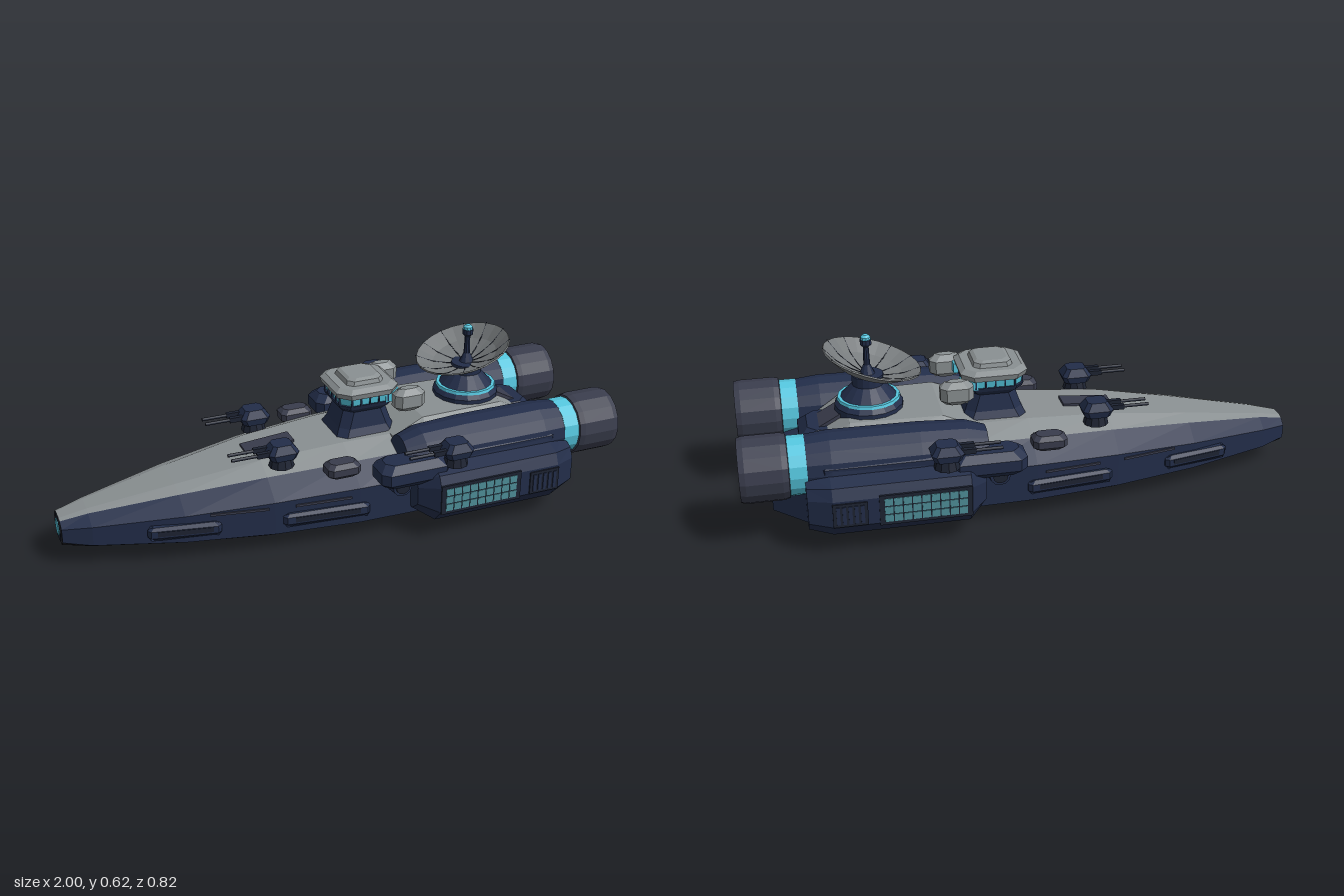
import * as THREE from 'three';

const mat = (name, color) => {
  const m = new THREE.MeshStandardMaterial({ color });
  m.name = name;
  return m;
};

// Skin between rings of 3D points, capped at both ends; bands gives a material index per side
function loft(rings, bands = () => 0, endBand = 0) {
  const n = rings[0].length, buckets = {};
  const tri = (k, ...p) => (buckets[k] ??= []).push(...p.flat());
  for (let i = 0; i < rings.length - 1; i++)
    for (let j = 0; j < n; j++) {
      const k = (j + 1) % n, a = rings[i][j], b = rings[i + 1][j], c = rings[i + 1][k], d = rings[i][k];
      tri(bands(j), a, b, c);
      tri(bands(j), a, c, d);
    }
  const s = rings[0], e = rings[rings.length - 1];
  for (let j = 1; j < n - 1; j++) {
    tri(bands(0), s[0], s[j], s[j + 1]);
    tri(endBand, e[0], e[j + 1], e[j]);
  }
  const g = new THREE.BufferGeometry(), all = [];
  for (const k of Object.keys(buckets)) {
    g.addGroup(all.length / 3, buckets[k].length / 3, +k);
    for (const v of buckets[k]) all.push(v);
  }
  g.setAttribute('position', new THREE.Float32BufferAttribute(all, 3));
  g.computeVertexNormals();
  return g;
}

// Stack of chamfered rectangles: layers of [y, halfX, halfZ, chamfer]
const stack = (layers) => loft(layers.map(([y, x, z, c]) => [
  [x - c, y, z], [c - x, y, z], [-x, y, z - c], [-x, y, c - z],
  [c - x, y, -z], [x - c, y, -z], [x, y, c - z], [x, y, z - c]]));

const bevelBox = (x, y, z, c) => stack([
  [-y / 2, x / 2 - c, z / 2 - c, c], [c - y / 2, x / 2, z / 2, c],
  [y / 2 - c, x / 2, z / 2, c], [y / 2, x / 2 - c, z / 2 - c, c]]);

const box = (x, y, z) => new THREE.BoxGeometry(x, y, z);
const flat = (g) => { const f = g.toNonIndexed(); f.computeVertexNormals(); return f; };
const turned = (pts, sides) => flat(new THREE.LatheGeometry(pts.map(p => new THREE.Vector2(...p)), sides));

export function createModel() {
  const model = new THREE.Group();
  model.name = 'patrolShip';
  const navy = mat('navy', 0x222d49), grey = mat('deckGrey', 0x8a9092), teal = mat('teal', 0x55c6de),
    charcoal = mat('charcoal', 0x393c4c), under = mat('undersideBlack', 0x23252c),
    gunmetal = mat('gunmetal', 0x1d2332), glass = mat('dimGlass', 0x4f8f99), dishGrey = mat('dishGrey', 0x777b7d);

  const add = (parent, name, geo, material, x = 0, y = 0, z = 0) => {
    const m = new THREE.Mesh(geo, material);
    m.name = name;
    m.position.set(x, y, z);
    parent.add(m);
    return m;
  };

  // Hull stations: x, half width, bottom, keel edge, shoulder, deck half width, deck edge, deck top
  const hullRing = ([x, w, yb, yk, ys, dw, yd, yt]) => {
    const half = [[yb, w * 0.61], [yk, w], [ys, w], [yd, dw], [yt, dw * 0.6]];
    return [...half.map(([y, z]) => [x, y, z]), ...half.reverse().map(([y, z]) => [x, y, -z])];
  };
  const band = j => [0, 1, 1, 2, 2, 2, 1, 1, 0, 0][j];
  const aft = [0.72, 0.28, 0.028, 0.072, 0.2, 0.2, 0.25, 0.27];
  add(model, 'hull', loft([
    [-0.995, 0.065, 0.068, 0.09, 0.14, 0.04, 0.16, 0.165],
    [-0.9, 0.105, 0.055, 0.08, 0.15, 0.058, 0.18, 0.187],
    [-0.6, 0.19, 0.028, 0.072, 0.172, 0.12, 0.22, 0.237],
    [-0.3, 0.248, 0.008, 0.068, 0.19, 0.17, 0.25, 0.283],
    [0, 0.28, 0, 0.066, 0.2, 0.2, 0.265, 0.303],
    [0.2, 0.285, 0.002, 0.066, 0.2, 0.21, 0.27, 0.305], aft].map(hullRing), band), [under, navy, grey]);
  add(model, 'stern', loft([aft, [0.79, 0.28, 0.035, 0.075, 0.2, 0.2, 0.22, 0.225],
    [0.9, 0.19, 0.055, 0.085, 0.155, 0.165, 0.185, 0.188]].map(hullRing), band, 3), [under, navy, navy, charcoal]);

  // Nose cap with glowing sensor
  const nose = add(model, 'noseFrame', new THREE.CylinderGeometry(0.05, 0.055, 0.03, 6), gunmetal, -0.982, 0.118);
  nose.geometry = flat(nose.geometry);
  nose.rotation.z = Math.PI / 2;
  const lens = add(model, 'noseSensor', new THREE.CylinderGeometry(0.03, 0.03, 0.006, 6), teal, -0.997, 0.118);
  lens.rotation.z = Math.PI / 2;

  // Raised aft deck, hatch and stern block
  const deckRing = ([x, y, w]) => [[x, 0.24, 0.2], [x, y - 0.04, 0.19], [x, y, w], [x, y, -w], [x, y - 0.04, -0.19], [x, 0.24, -0.2]];
  add(model, 'aftDeck', loft([[0.18, 0.305, 0.15], [0.3, 0.355, 0.14], [0.62, 0.355, 0.13], [0.72, 0.3, 0.1]].map(deckRing)), grey);
  add(model, 'sternBlock', bevelBox(0.2, 0.1, 0.22, 0.03), navy, 0.69, 0.265);
  add(model, 'sternHatch', box(0.1, 0.012, 0.11), charcoal, 0.675, 0.333).rotation.z = -0.5;
  add(model, 'deckHatch', box(0.18, 0.016, 0.07), charcoal, -0.24, 0.287).rotation.z = 0.08;

  // Bridge tower
  const tower = new THREE.Group();
  tower.name = 'bridge';
  tower.position.x = 0.11;
  model.add(tower);
  add(tower, 'trunk', stack([[0.29, 0.12, 0.11, 0.03], [0.33, 0.1, 0.09, 0.03], [0.39, 0.08, 0.08, 0.03], [0.41, 0.1, 0.1, 0.03], [0.425, 0.105, 0.105, 0.03]]), navy);
  add(tower, 'bridgeWindows', stack([[0.425, 0.097, 0.1, 0.03], [0.46, 0.102, 0.106, 0.03]]), teal);
  for (const s of [-1, 1])
    for (let i = -2; i <= 2; i++) {
      add(tower, 'windowPost', box(0.005, 0.036, 0.008), navy, i * 0.034, 0.442, s * 0.103);
      add(tower, 'windowPost', box(0.008, 0.036, 0.005), navy, s * 0.1, 0.442, i * 0.034);
    }
  add(tower, 'roof', stack([[0.455, 0.113, 0.115, 0.04], [0.475, 0.118, 0.12, 0.04], [0.488, 0.1, 0.1, 0.035]]), grey);
  add(tower, 'roofCap', stack([[0.487, 0.07, 0.075, 0.02], [0.503, 0.065, 0.07, 0.02], [0.51, 0.052, 0.057, 0.02]]), grey);

  // Dish antenna
  const mast = new THREE.Group();
  mast.name = 'dishAntenna';
  mast.position.x = 0.54;
  model.add(mast);
  add(mast, 'dishBase', turned([[0, 0.34], [0.12, 0.34], [0.12, 0.37], [0.105, 0.388], [0.07, 0.425], [0.055, 0.44], [0.055, 0.475], [0, 0.48]], 16), navy);
  add(mast, 'baseRing', turned([[0.09, 0.387], [0.111, 0.387], [0.108, 0.397], [0.09, 0.397]], 16), teal);
  const dish = new THREE.Group();
  dish.name = 'dish';
  dish.position.y = 0.465;
  dish.rotation.z = 0.29;
  mast.add(dish);
  const bowl = [[0, 0], [0.06, 0.01], [0.12, 0.03], [0.175, 0.065]];
  add(dish, 'bowl', turned([...bowl, ...bowl.map(([r, y]) => [r * 0.985, y + 0.005]).reverse()], 24), dishGrey);
  const rib = new THREE.CatmullRomCurve3(bowl.map(([r, y]) => new THREE.Vector3(r, y + 0.006, 0)));
  for (let i = 0; i < 12; i++)
    add(dish, 'rib', new THREE.TubeGeometry(rib, 6, 0.002, 4), gunmetal).rotation.y = i * Math.PI / 6;
  add(mast, 'feedMast', turned([[0.03, 0.47], [0.012, 0.51], [0.01, 0.575], [0.02, 0.585], [0.02, 0.603], [0, 0.607]], 10), navy);
  add(mast, 'feedTip', turned([[0.018, 0.602], [0.017, 0.612], [0.009, 0.62], [0, 0.621]], 10), teal);

  // Twin-barrel turret, muzzles toward the nose
  const turret = (parent, x, y, z) => {
    const t = new THREE.Group();
    t.name = 'gunTurret';
    t.position.set(x, y, z);
    parent.add(t);
    add(t, 'turretBase', flat(new THREE.CylinderGeometry(0.036, 0.045, 0.035, 10)), gunmetal, 0, -0.012);
    add(t, 'turretBody', stack([[0.005, 0.045, 0.042, 0.015], [0.03, 0.055, 0.047, 0.015], [0.058, 0.035, 0.032, 0.012]]), navy);
    for (const s of [-1, 1]) {
      add(t, 'barrelSleeve', box(0.06, 0.018, 0.016), gunmetal, -0.065, 0.033, s * 0.02);
      add(t, 'barrel', new THREE.CylinderGeometry(0.006, 0.006, 0.14, 8), gunmetal, -0.115, 0.033, s * 0.02).rotation.z = Math.PI / 2;
    }
  };

  // Everything carried on each flank is built on +z, then mirrored
  for (const side of [1, -1]) {
    const g = new THREE.Group();
    g.name = side > 0 ? 'leftFlank' : 'rightFlank';
    g.scale.z = side;
    model.add(g);

    // Engine
    const engine = (name, pts, m) => add(g, name, turned(pts, 16).rotateZ(-Math.PI / 2), m, 0, 0.268, 0.225);
    engine('nacelle', [[0, 0.17], [0.075, 0.17], [0.098, 0.24], [0.106, 0.4], [0.108, 0.7], [0.1, 0.78]], navy);
    engine('engineBand', [[0, 0.77], [0.101, 0.78], [0.101, 0.84]], teal);
    engine('nozzle', [[0.09, 0.835], [0.108, 0.84], [0.113, 0.86], [0.113, 0.98], [0.108, 1], [0.095, 1], [0.085, 0.86], [0, 0.85]], charcoal);
    add(g, 'engineSaddle', bevelBox(0.55, 0.14, 0.16, 0.03), navy, 0.48, 0.25, 0.25);

    // Side pod with windows and vent
    const podRing = ([x, out, lift]) => [[0.065 + lift, 0.2], [0.065 + lift, 0.36 - out], [0.115 + lift / 2, 0.403 - out],
      [0.21 - lift / 2, 0.403 - out], [0.25 - lift, 0.385 - out], [0.275 - lift, 0.31 - out / 2], [0.275 - lift, 0.2]].map(([y, z]) => [x, y, z]);
    add(g, 'sidePod', loft([[0.19, 0.06, 0.03], [0.25, 0, 0], [0.71, 0, 0], [0.79, 0.035, 0.01]].map(podRing)), navy);
    add(g, 'podWindowFrame', box(0.31, 0.11, 0.012), gunmetal, 0.405, 0.163, 0.401);
    for (let i = 0; i < 9; i++)
      for (let j = 0; j < 3; j++)
        add(g, 'podWindow', box(0.027, 0.026, 0.006), glass, 0.281 + i * 0.031, 0.133 + j * 0.03, 0.406);
    add(g, 'podVent', box(0.115, 0.085, 0.012), gunmetal, 0.655, 0.16, 0.402);
    for (let i = 0; i < 5; i++) add(g, 'ventSlat', box(0.012, 0.065, 0.008), navy, 0.615 + i * 0.02, 0.16, 0.407);

    // Forward sponson, round port and rear gun
    add(g, 'sponson', bevelBox(0.26, 0.09, 0.13, 0.025), navy, 0.18, 0.255, 0.305);
    const port = add(g, 'sidePort', flat(new THREE.CylinderGeometry(0.036, 0.044, 0.08, 12)), navy, 0.14, 0.2, 0.285);
    port.rotation.x = Math.PI / 2;
    add(g, 'portCover', flat(new THREE.CylinderGeometry(0.026, 0.026, 0.006, 12)), gunmetal, 0.14, 0.2, 0.327).rotation.x = Math.PI / 2;
    turret(g, 0.325, 0.3, 0.352);
    turret(g, -0.24, 0.305, 0.148);

    // Bridge side sensors
    add(g, 'bridgeSensor', bevelBox(0.115, 0.085, 0.068, 0.02), grey, 0.25, 0.43, 0.12);
    add(g, 'sensorArm', box(0.06, 0.035, 0.05), teal, 0.2, 0.438, 0.08);

    // Hull-side boxes and blisters
    add(g, 'deckLocker', bevelBox(0.12, 0.055, 0.08, 0.015), charcoal, -0.05, 0.268, 0.232);
    for (const [x, z, len, a] of [[-0.605, 0.19, 0.25, -0.2], [-0.12, 0.268, 0.31, -0.11]]) {
      add(g, 'sideBlister', bevelBox(len, 0.05, 0.03, 0.012), navy, x, 0.12, z).rotation.y = a;
      add(g, 'blisterPanel', box(len * 0.75, 0.018, 0.006), gunmetal, x, 0.122, z + 0.014).rotation.y = a;
    }
    for (const [x, z, len, a] of [[-0.42, 0.226, 0.2, -0.19], [-0.13, 0.267, 0.2, -0.1]])
      add(g, 'sideSeam', box(len, 0.008, 0.008), charcoal, x, 0.17, z).rotation.y = a;
  }
  return model;
}
